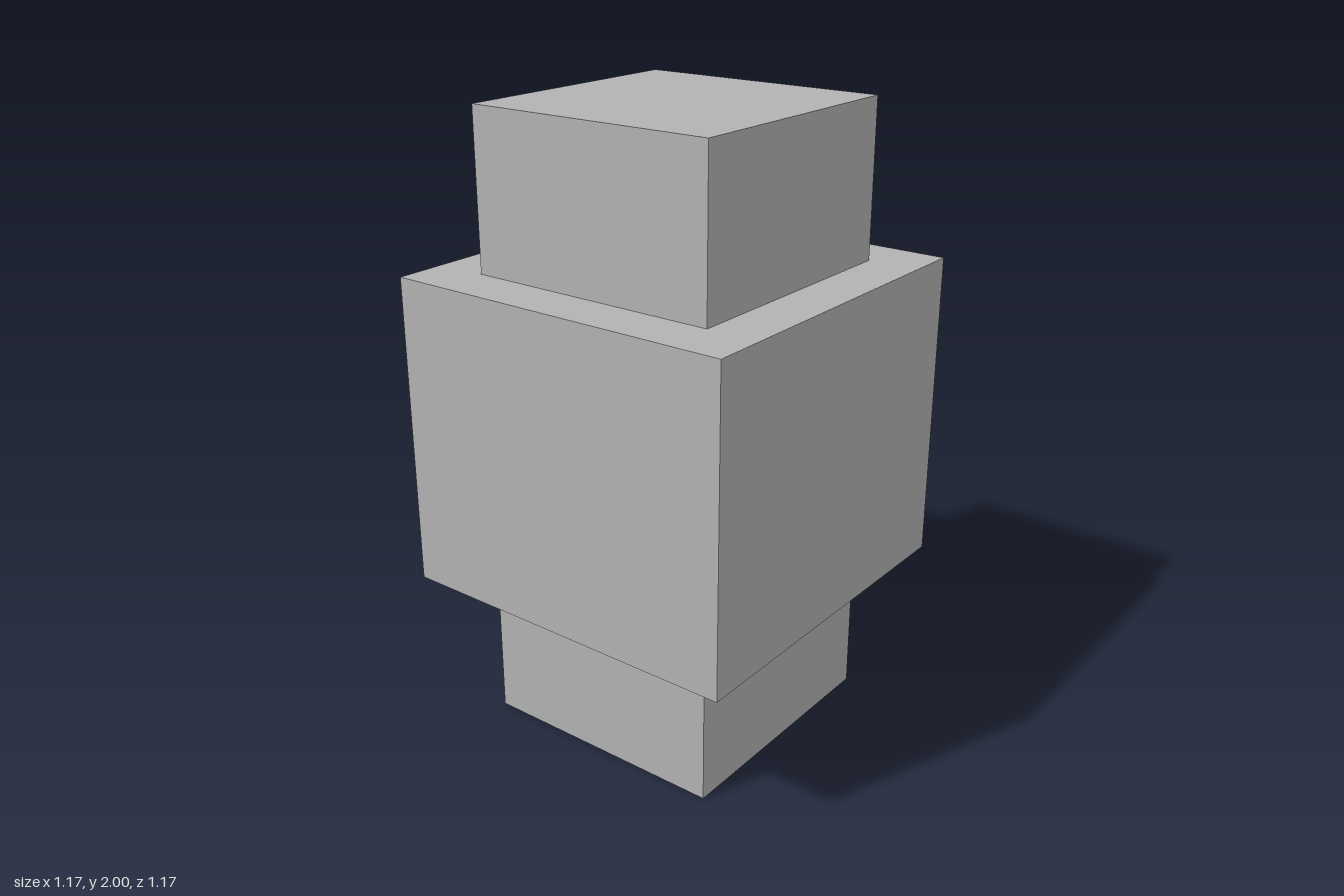
import * as THREE from 'three';

export function createModel() {
  const group = new THREE.Group();
  const grey = new THREE.MeshStandardMaterial({ color: 0xb2b2b2 });
  grey.name = 'light grey';

  // Square block of the given width and height, standing at height y
  const block = (name, width, height, y) => {
    const mesh = new THREE.Mesh(new THREE.BoxGeometry(width, height, width), grey);
    mesh.name = name;
    mesh.position.y = y + height / 2;
    group.add(mesh);
  };

  block('base', 0.833, 0.5, 0);
  block('body', 1.167, 1, 0.5);
  block('cap', 0.833, 0.5, 1.5);
  return group;
}
